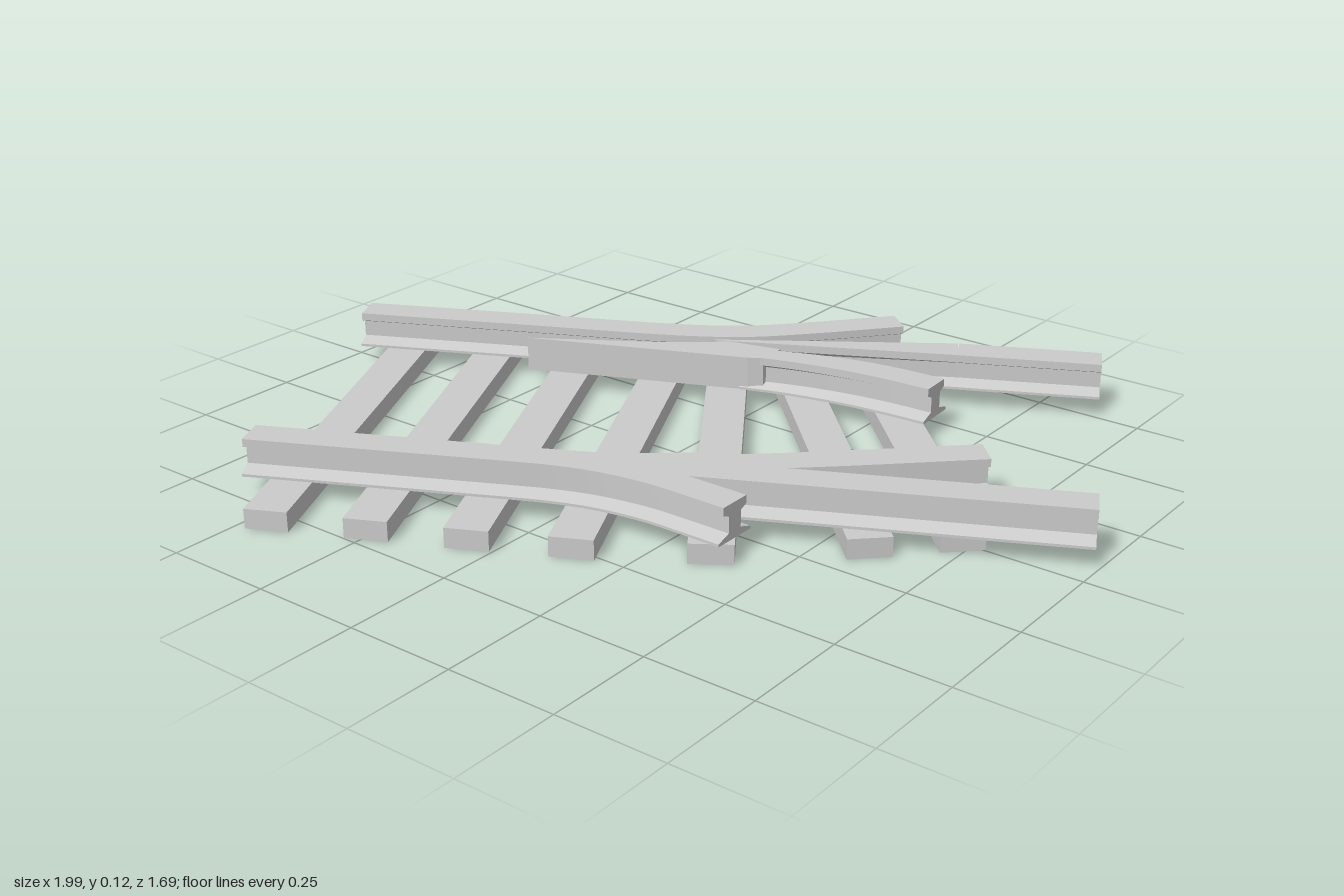
import * as THREE from 'three';

const BASE = 0.045, TOP = 0.125;
const mat = new THREE.MeshStandardMaterial({ color: 0xcccccc, flatShading: true });

function add(group, name, geometry) {
  const mesh = new THREE.Mesh(geometry, mat);
  mesh.name = name;
  group.add(mesh);
  return mesh;
}

// I-shaped rail section: sloped foot, thin web, narrower head
function railSection() {
  const half = [[0.054, BASE], [0.054, 0.051], [0.02, 0.062], [0.02, 0.099], [0.038, 0.107], [0.038, TOP]];
  const mirrored = half.map(([x, y]) => [-x, y]).reverse();
  return new THREE.Shape([...half, ...mirrored].map(([x, y]) => new THREE.Vector2(x, y)));
}

// Sweep the section along plan points [x, z, width scale]
function railGeometry(points, steps) {
  const pts = points.map(([x, z, w = 1]) => new THREE.Vector3(x, w, z));
  let curve;
  if (pts.length === 2) curve = new THREE.LineCurve3(pts[0], pts[1]);
  else curve = new THREE.CatmullRomCurve3(pts, false, 'centripetal');
  const geo = new THREE.ExtrudeGeometry(railSection(), { depth: steps, steps, bevelEnabled: false });
  const pos = geo.attributes.position;
  const frames = [];
  for (let i = 0; i <= steps; i++) {
    const p = curve.getPoint(i / steps), t = curve.getTangent(i / steps);
    const len = Math.hypot(t.x, t.z);
    frames.push({ p, sx: t.z / len, sz: -t.x / len });
  }
  for (let i = 0; i < pos.count; i++) {
    const { p, sx, sz } = frames[Math.round(pos.getZ(i))];
    const side = pos.getX(i) * p.y;
    pos.setXYZ(i, p.x + sx * side, pos.getY(i), p.z + sz * side);
  }
  geo.computeVertexNormals();
  return geo;
}

// Solid upright slab from a plan outline [x, z]
function slabGeometry(outline) {
  const shape = new THREE.Shape(outline.map(([x, z]) => new THREE.Vector2(x, -z)));
  const geo = new THREE.ExtrudeGeometry(shape, { depth: TOP - BASE, bevelEnabled: false });
  return geo.rotateX(-Math.PI / 2).translate(0, BASE, 0);
}

export function createModel() {
  const model = new THREE.Group();
  model.name = 'threeWayTrackSwitch';

  // Sleepers fanning round with the left branch: back end x, z, front end x, z
  const sleepers = [
    [-0.957, -0.232, -0.433, 0.821],
    [-0.765, -0.33, -0.24, 0.727],
    [-0.572, -0.422, -0.048, 0.634],
    [-0.38, -0.521, 0.144, 0.535],
    [-0.28, -0.585, 0.38, 0.385],
    [-0.211, -0.671, 0.615, 0.17],
    [-0.083, -0.802, 0.747, 0.03],
  ];
  for (const [x0, z0, x1, z1] of sleepers) {
    const dx = x1 - x0, dz = z1 - z0;
    const s = add(model, 'sleeper', new THREE.BoxGeometry(0.094, BASE, Math.hypot(dx, dz)));
    s.position.set((x0 + x1) / 2, BASE / 2, (z0 + z1) / 2);
    s.rotation.y = Math.atan2(dx, dz);
  }

  // Back side: stock rail bending left
  add(model, 'backStockRail', railGeometry([
    [-0.97, 0], [-0.6, -0.185], [-0.25, -0.362], [-0.13, -0.445], [-0.02, -0.56], [0.12, -0.725],
  ], 30));
  // Back side: straight rail, tapered to a point against the stock rail
  add(model, 'backStraightRail', railGeometry([[-0.16, -0.35, 0.05], [0.33, -0.65, 1]], 6));
  add(model, 'backStraightRailEnd', railGeometry([[0.33, -0.65], [0.625, -0.8]], 1));
  // Back side: right branch rail and its solid blade
  add(model, 'backRightRail', railGeometry([
    [-0.06, -0.325, 0.6], [0.05, -0.372, 0.78], [0.19, -0.412, 0.95], [0.3, -0.428, 1], [0.4, -0.434, 1],
  ], 12));
  add(model, 'backBlade', slabGeometry([
    [-0.52, -0.09], [-0.03, -0.305], [0, -0.325], [0, -0.395], [-0.12, -0.365], [-0.26, -0.255],
  ]));

  // Front side: straight rail running the full length
  add(model, 'frontStraightRail', railGeometry([[-0.62, 0.69], [0.97, -0.105]], 1));
  // Front side: left and right branch rails
  add(model, 'frontLeftRail', railGeometry([
    [-0.03, 0.395], [0.08, 0.335], [0.225, 0.235], [0.4, 0.083], [0.674, -0.18],
  ], 16));
  add(model, 'frontRightRail', railGeometry([
    [-0.1, 0.43], [-0.02, 0.392], [0.08, 0.357], [0.2, 0.336], [0.3, 0.333], [0.4, 0.333],
  ], 14));
  // Front side: solid blade filling the space where the rails part
  add(model, 'frontBlade', slabGeometry([
    [-0.22, 0.445], [-0.02, 0.355], [0.08, 0.288], [0.19, 0.2], [0.25, 0.148], [0.29, 0.18],
    [0.23, 0.235], [0.235, 0.31], [0.19, 0.35], [0, 0.39], [-0.21, 0.48],
  ]));

  return model;
}
